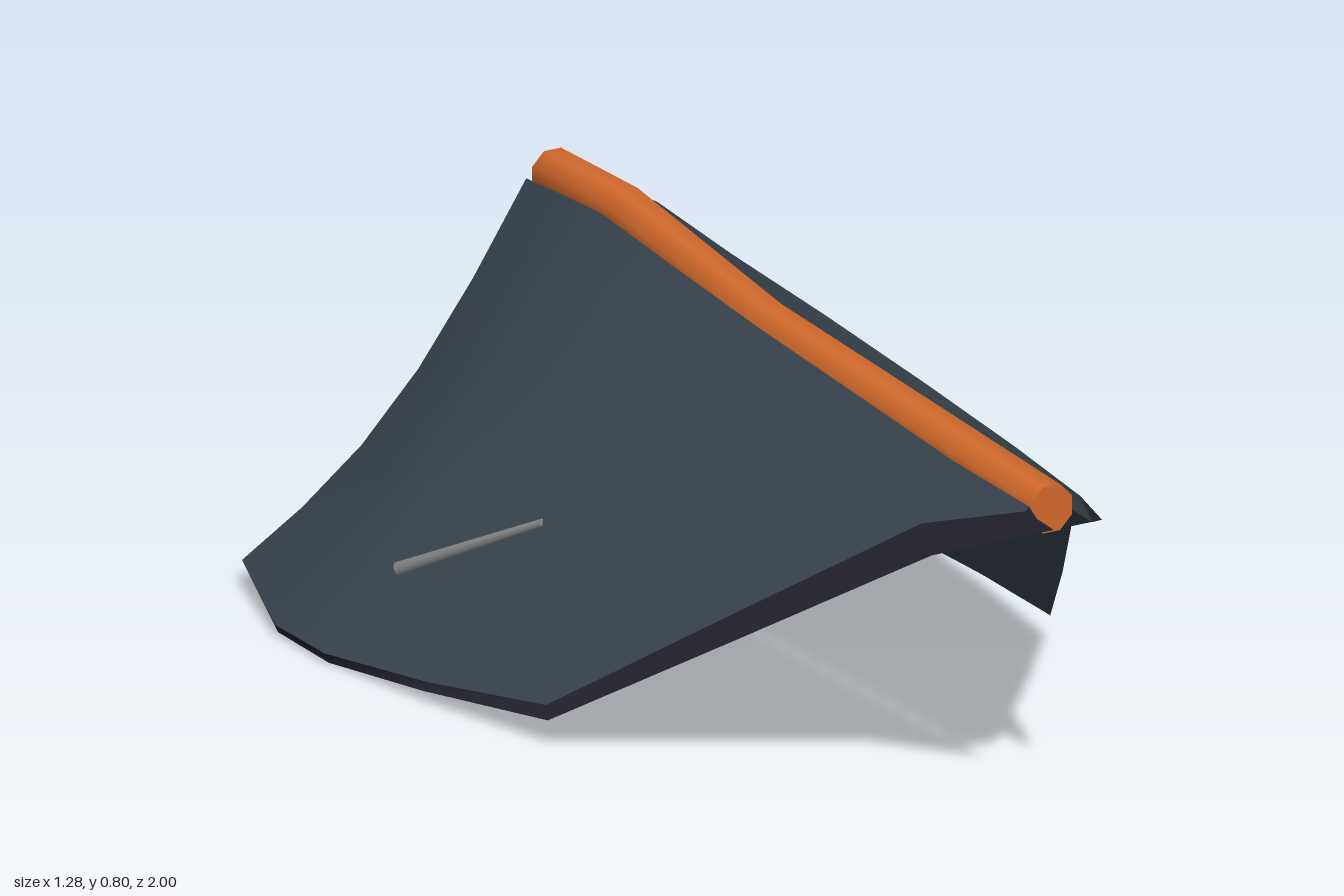
import * as THREE from 'three';
import { toCreasedNormals } from 'three/addons/utils/BufferGeometryUtils.js';

// Stations from nose to tail: upper ridge, upper rim, lower ridge, lower rim, sag
const STATIONS = [
  [[.055, .63, .92], [.062, .622, .92], [.05, .595, .97], [.052, .608, 1], 0],
  [[.068, .65, .68], [.14, .545, .69], [.05, .61, .70], [.15, .50, .74], 0],
  [[.07, .68, .37], [.335, .31, .36], [.05, .635, .37], [.352, .27, .39], 0],
  [[.07, .71, .03], [.525, .068, .02], [.05, .665, .03], [.54, .05, .05], 0],
  [[.063, .738, -.28], [.59, .035, -.28], [.05, .695, -.28], [.60, .02, -.28], 0],
  [[.06, .765, -.53], [.642, .02, -.55], [.045, .72, -.53], [.632, 0, -.55], .005],
  [[.055, .758, -.68], [.634, .02, -.73], [.045, .73, -.68], [.628, .005, -.73], .03],
  [[.05, .75, -.80], [.535, .046, -1], [.05, .75, -.80], [.535, .046, -1], .07],
];

// Point between ridge and rim, bowed by the sag
function span(a, b, t, sag) {
  const p = new THREE.Vector3(...a).lerp(new THREE.Vector3(...b), t);
  const bow = Math.sin(Math.PI * t) * sag;
  p.y -= bow;
  p.z += bow * 0.3;
  return p;
}

// Skin over rows of points; side = -1 mirrors it in x
function skin(rows, side) {
  const n = rows[0].length;
  const pos = [], idx = [];
  rows.forEach(row => row.forEach(p => pos.push(p.x * side, p.y, p.z)));
  for (let i = 0; i < rows.length - 1; i++) {
    for (let j = 0; j < n - 1; j++) {
      const a = i * n + j, b = a + 1, d = a + n, c = d + 1;
      if (side > 0) idx.push(a, b, c, a, c, d);
      else idx.push(a, c, b, a, d, c);
    }
  }
  const g = new THREE.BufferGeometry();
  g.setAttribute('position', new THREE.Float32BufferAttribute(pos, 3));
  g.setIndex(idx);
  g.computeVertexNormals();
  return g;
}

export function createModel() {
  const material = (name, color) => {
    const m = new THREE.MeshStandardMaterial({ color });
    m.name = name;
    return m;
  };
  const slate = material('slate', 0x3b4751);
  const dark = material('dark edge', 0x25232f);
  const orange = material('orange', 0xd2692c);
  const grey = material('grey', 0x868686);

  const model = new THREE.Group();
  model.name = 'foldedWings';
  const add = (parent, name, geometry, mat) => {
    const mesh = new THREE.Mesh(geometry, mat);
    mesh.name = name;
    parent.add(mesh);
    return mesh;
  };

  const steps = [0, .2, .4, .6, .8, 1];
  for (const side of [1, -1]) {
    const wing = new THREE.Group();
    wing.name = side > 0 ? 'leftWing' : 'rightWing';
    model.add(wing);

    // Wing skins, rim and inner edge
    const rows = (a, b, ts, sagged) => STATIONS.map(s => ts.map(t => span(s[a], s[b], t, sagged ? s[4] : 0)));
    add(wing, 'upperSkin', skin(rows(0, 1, steps, true), side), slate);
    add(wing, 'lowerSkin', skin(rows(3, 2, steps, true), side), slate);
    add(wing, 'innerEdge', skin(rows(2, 0, [0, 1]), side), slate);
    add(wing, 'outerRim', skin(rows(1, 3, [0, 1]), side), dark);

    // Nose end of the wing
    const s = STATIONS[0];
    add(wing, 'noseCap', skin([[2, 3], [0, 1]].map(r => r.map(k => new THREE.Vector3(...s[k]))), side), dark);

    // Slim tapered rod lying on the wing
    const front = new THREE.Vector3(side * .375, .317, -.23);
    const rear = new THREE.Vector3(side * .525, .18, -.485);
    const rod = add(wing, 'rod',
      new THREE.CylinderGeometry(.008, .014, front.distanceTo(rear), 8), grey);
    rod.position.copy(front).add(rear).multiplyScalar(.5);
    rod.quaternion.setFromUnitVectors(new THREE.Vector3(0, 1, 0), front.clone().sub(rear).normalize());
  }

  // Spine: an eight-sided bar bent upward towards the tail
  const path = [[-.79, .755], [-.53, .755], [-.04, .677], [.91, .612]];
  const bar = new THREE.CylinderGeometry(.048, .048, 3, 8, 3);
  bar.rotateY(Math.PI / 8);
  bar.rotateX(Math.PI / 2);
  const p = bar.attributes.position;
  for (let i = 0; i < p.count; i++) {
    const [z, y] = path[Math.round(p.getZ(i) + 1.5)];
    p.setY(i, p.getY(i) + y);
    p.setZ(i, z);
  }
  add(model, 'spine', toCreasedNormals(bar, 1), orange);
  return model;
}
